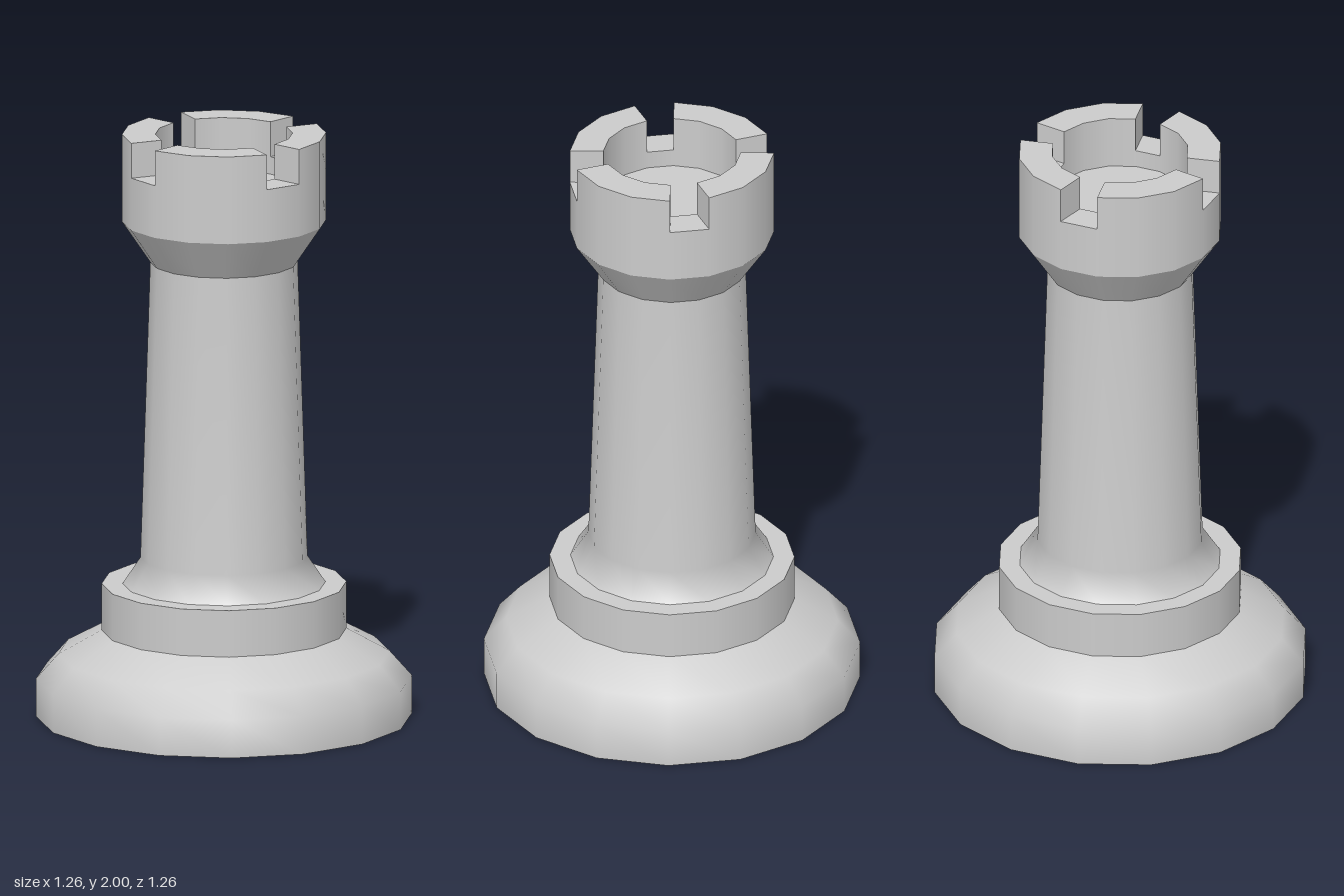
import * as THREE from 'three';
import { mergeGeometries } from 'three/addons/utils/BufferGeometryUtils.js';

const SIDES = 16;
const STEP = (Math.PI * 2) / SIDES;
const material = new THREE.MeshStandardMaterial({ color: 0xcccccc });

// Each profile is [radius, height] points; smooth inside a profile, sharp between profiles
function turned(profiles, firstSide = 0, sides = SIDES) {
  return profiles.map((profile) => new THREE.LatheGeometry(
    profile.map(([r, y]) => new THREE.Vector2(r, y)), sides, firstSide * STEP, sides * STEP));
}

function addPart(parent, name, geometries) {
  const mesh = new THREE.Mesh(mergeGeometries(geometries), material);
  mesh.name = name;
  parent.add(mesh);
}

export function createModel() {
  const model = new THREE.Group();
  model.name = 'chessRook';

  addPart(model, 'base', turned([
    [[0, 0], [0.63, 0]],
    [[0.63, 0], [0.63, 0.13], [0.555, 0.215], [0.41, 0.295]],
  ]));

  addPart(model, 'collar', turned([
    [[0.41, 0.295], [0.41, 0.455]],
    [[0.41, 0.455], [0.34, 0.455]],
  ]));

  addPart(model, 'shaft', turned([
    [[0.34, 0.455], [0.28, 0.545], [0.247, 1.56]],
  ]));

  // Flared head with a sunken floor
  const outer = 0.342, inner = 0.23, notchY = 1.88, floorY = 1.82, topY = 2;
  addPart(model, 'head', turned([
    [[0.247, 1.56], [outer, 1.7]],
    [[outer, 1.7], [outer, notchY]],
    [[outer, notchY], [inner, notchY]],
    [[inner, notchY], [inner, floorY]],
    [[inner, floorY], [0, floorY]],
  ]));

  // Four battlements, three sides wide, with one-side notches between them
  const battlements = new THREE.Group();
  battlements.name = 'battlements';
  model.add(battlements);
  const middle = (outer + inner) / 2;
  const endCap = (side, facing) => new THREE.PlaneGeometry(outer - inner, topY - notchY)
    .translate(facing * middle, (topY + notchY) / 2, 0)
    .rotateY(side * STEP - facing * Math.PI / 2);
  for (let i = 0; i < 4; i++) {
    const start = i * 4 + 1;
    addPart(battlements, 'battlement' + (i + 1), [
      ...turned([
        [[outer, notchY], [outer, topY]],
        [[outer, topY], [inner, topY]],
        [[inner, topY], [inner, notchY]],
      ], start, 3),
      endCap(start, 1),
      endCap(start + 3, -1),
    ]);
  }
  return model;
}
